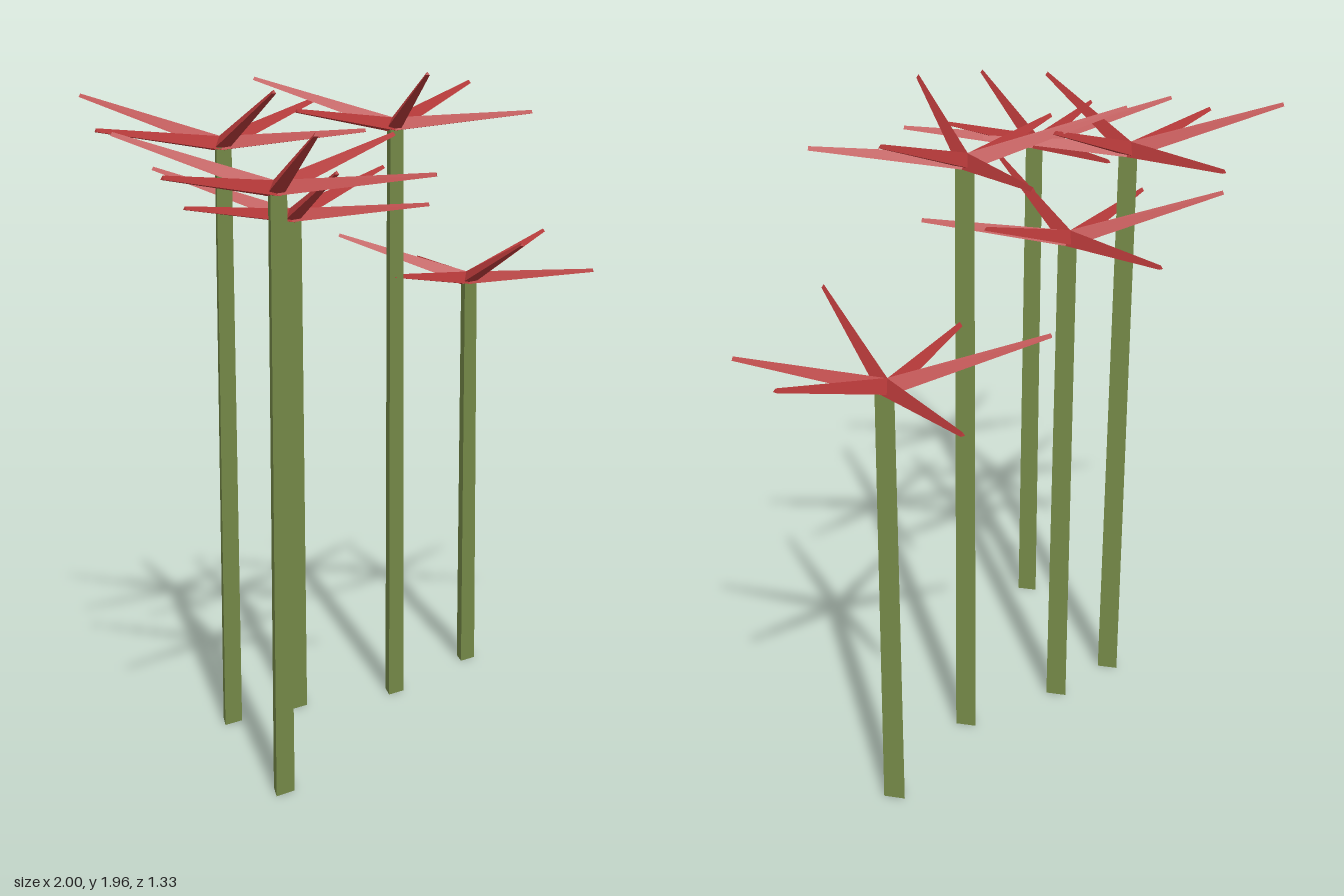
import * as THREE from 'three';

const stemMaterial = new THREE.MeshStandardMaterial({ color: 0x768a48, flatShading: true });
const frondMaterial = new THREE.MeshStandardMaterial({ color: 0xb83a3a, flatShading: true });

// Position, stem height and the six frond directions (degrees from +x towards +z).
// Fronds alternate between steep and shallow, starting with a steep one.
const plants = [
  { x: -0.59, z: 0.265, height: 1.635, angles: [-133.6, -70.7, -2, 51, 113.5, 165] },
  { x: -0.39, z: -0.26, height: 1.745, angles: [-128, -73, -8.8, 46, 105, 176.7] },
  { x: -0.155, z: -0.235, height: 1.53, angles: [-130, -73.5, -8, 53.5, 109.7, 171.3] },
  { x: 0.165, z: -0.135, height: 1.8, angles: [-136, -65, -13, 46, 117.8, 171.2] },
  { x: 0.57, z: -0.225, height: 1.3, angles: [-133.6, -70.5, -7.3, 60.4, 110.3, 165.3] },
];

// Tapered three-sided spike along +z with its ridge on top.
function frondGeometry(length) {
  return new THREE.CylinderGeometry(0.007, 0.027, length, 3, 1, false, Math.PI)
    .translate(0, length / 2, 0)
    .rotateX(Math.PI / 2);
}

function createPlant({ x, z, height, angles }) {
  const plant = new THREE.Group();
  plant.name = 'plant';
  plant.position.set(x, 0, z);

  // Three-sided stem, flat side to the front
  const stem = new THREE.Mesh(
    new THREE.CylinderGeometry(0.031, 0.036, height, 3, 1, false, Math.PI), stemMaterial);
  stem.name = 'stem';
  stem.position.set(0, height / 2, 0.006);
  plant.add(stem);

  // Crown of spiky fronds
  const crown = new THREE.Group();
  crown.name = 'crown';
  crown.position.y = height + 0.006;
  angles.forEach((angle, i) => {
    const reach = 0.425;
    const rise = i % 2 === 0 ? 0.143 : 0.042;
    const frond = new THREE.Mesh(frondGeometry(Math.hypot(reach, rise)), frondMaterial);
    frond.name = i % 2 === 0 ? 'steepFrond' : 'shallowFrond';
    frond.rotation.order = 'YXZ';
    frond.rotation.y = Math.PI / 2 - THREE.MathUtils.degToRad(angle);
    frond.rotation.x = -Math.atan2(rise, reach);
    crown.add(frond);
  });
  plant.add(crown);
  return plant;
}

export function createModel() {
  const model = new THREE.Group();
  model.name = 'plantCluster';
  plants.forEach((p) => model.add(createPlant(p)));
  return model;
}
